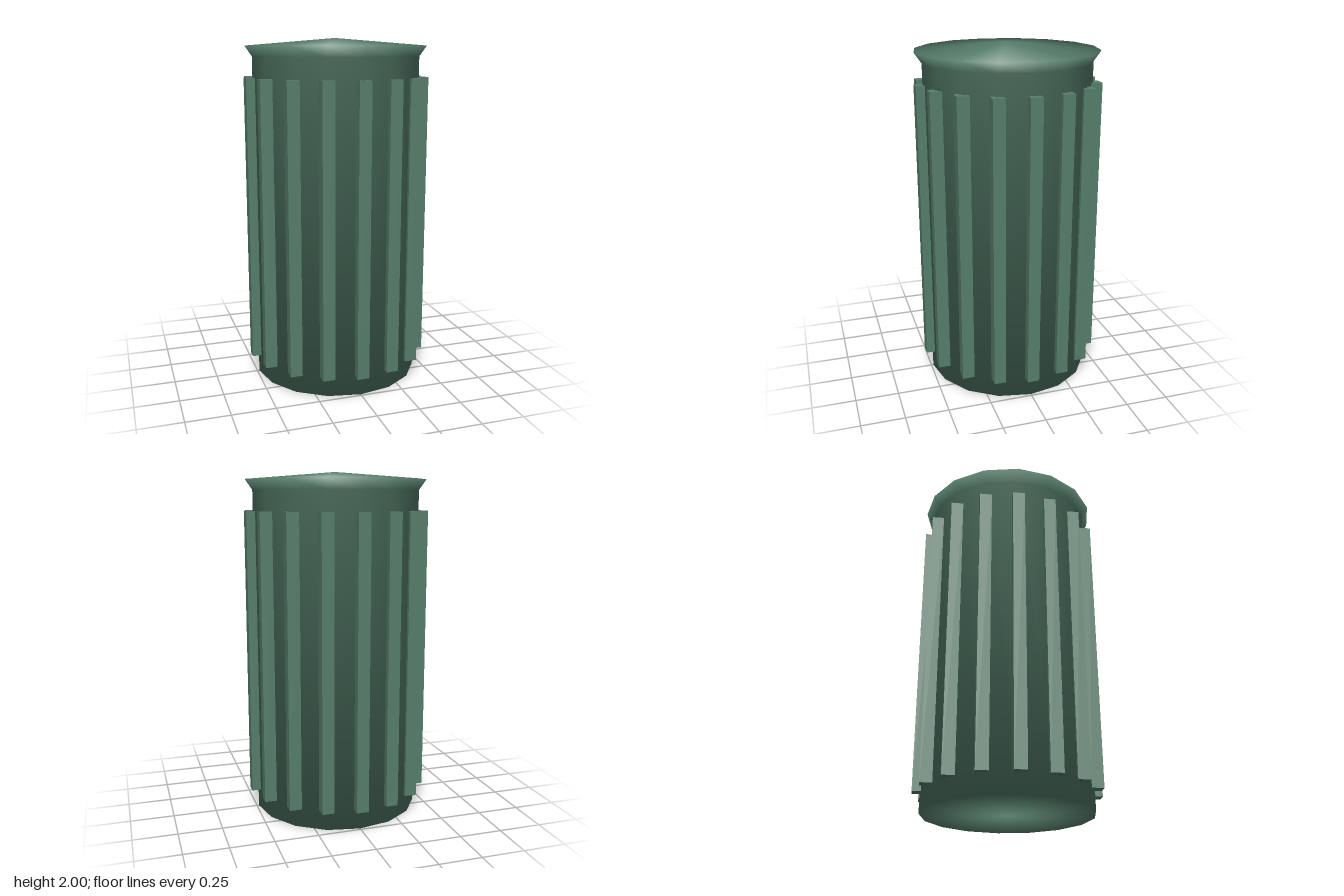
import * as THREE from 'three';

const SIDES = 16;

// Revolved solid whose normals blend evenly across every profile corner
function smoothRevolve(points, sides) {
  const profile = points.map(([r, y]) => new THREE.Vector2(r, y));
  const geo = new THREE.LatheGeometry(profile, sides);
  const segment = (i) => {
    const d = profile[i + 1].clone().sub(profile[i]).normalize();
    return new THREE.Vector2(d.y, -d.x);
  };
  const last = profile.length - 1;
  const blended = profile.map((p, j) =>
    j === 0 || j === last
      ? new THREE.Vector2(0, 1)
      : segment(j - 1).add(segment(j)).normalize());
  const normal = geo.attributes.normal;
  for (let i = 0; i <= sides; i++) {
    const a = (i / sides) * Math.PI * 2;
    blended.forEach((n, j) =>
      normal.setXYZ(i * profile.length + j, n.x * Math.sin(a), n.y, n.x * Math.cos(a)));
  }
  return geo;
}

export function createModel() {
  const model = new THREE.Group();
  model.name = 'ribbedBin';

  const green = new THREE.MeshStandardMaterial({ color: 0x567e6b });
  green.name = 'mutedGreen';

  // Body: base, straight wall, flared rim and shallow conical lid
  const body = new THREE.Mesh(smoothRevolve([
    [0, 0], [0.488, 0], [0.488, 1.897], [0.53, 1.957], [0, 2],
  ], SIDES), green);
  body.name = 'body';
  model.add(body);

  // Upright ribs: square bars kept parallel to the axes
  const ribs = new THREE.Group();
  ribs.name = 'ribs';
  const bottom = 0.115, top = 1.78, ringRadius = 0.497;
  const ribGeo = new THREE.BoxGeometry(0.07, top - bottom, 0.07);
  for (let i = 0; i < SIDES; i++) {
    const a = (i / SIDES) * Math.PI * 2;
    const rib = new THREE.Mesh(ribGeo, green);
    rib.name = 'rib';
    rib.position.set(Math.sin(a) * ringRadius, (bottom + top) / 2, Math.cos(a) * ringRadius);
    ribs.add(rib);
  }
  model.add(ribs);

  return model;
}
